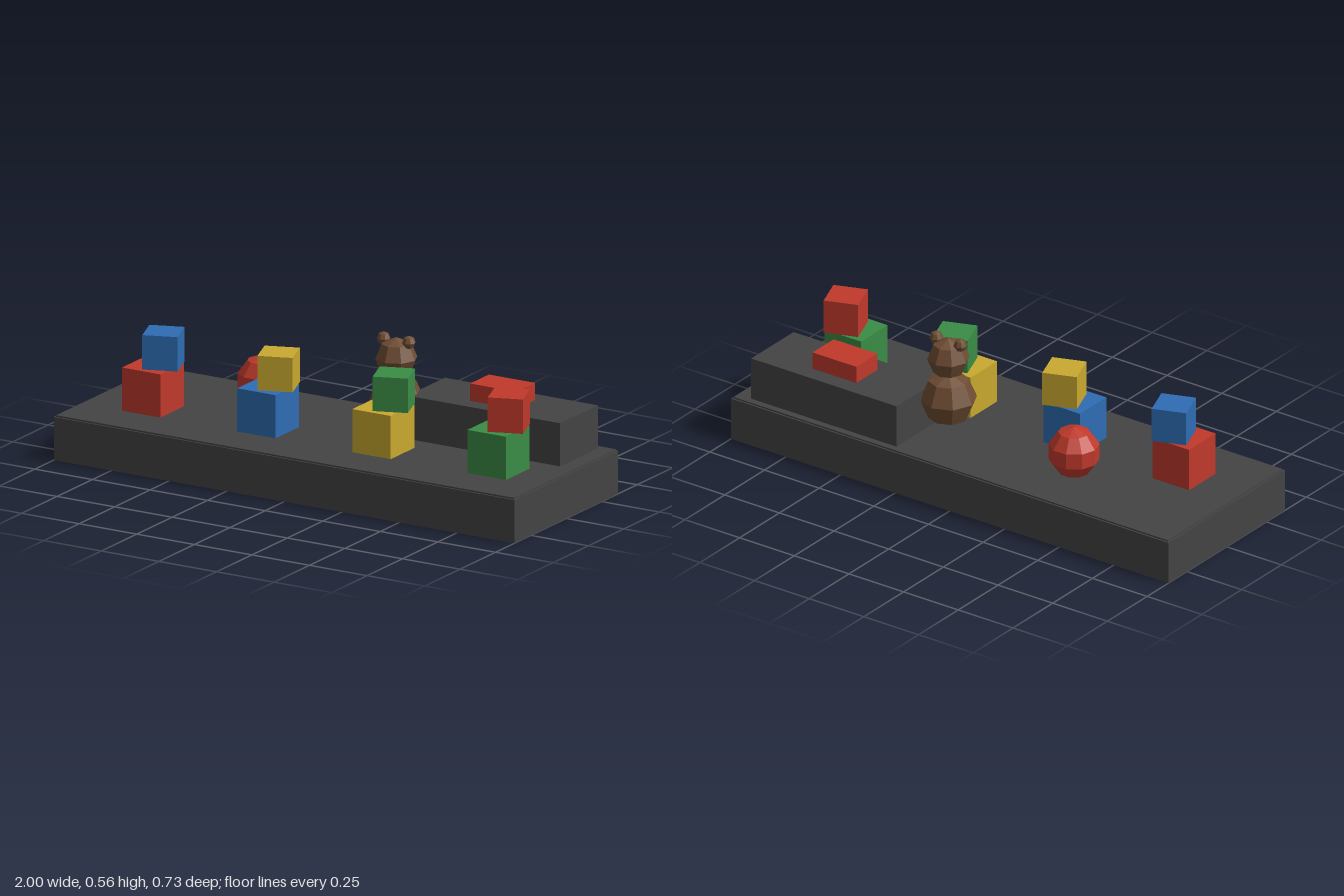
import * as THREE from 'three';

const mat = (name, color) => {
  const m = new THREE.MeshStandardMaterial({ color, flatShading: true });
  m.name = name;
  return m;
};

export function createModel() {
  const model = new THREE.Group();
  model.name = 'toyShelf';
  const charcoal = mat('charcoal', 0x444444);
  const red = mat('red', 0xc0392b);
  const blue = mat('blue', 0x2e6db4);
  const yellow = mat('yellow', 0xc9a92f);
  const green = mat('green', 0x3a8c46);
  const brown = mat('brown', 0x6e4c32);

  // y is the underside of each box
  const box = (name, material, [w, h, d], [x, y, z], parent = model) => {
    const mesh = new THREE.Mesh(new THREE.BoxGeometry(w, h, d), material);
    mesh.name = name;
    mesh.position.set(x, y + h / 2, z);
    parent.add(mesh);
    return mesh;
  };
  const ball = (name, material, r, [x, y, z], ws, hs, parent = model) => {
    const mesh = new THREE.Mesh(new THREE.SphereGeometry(r, ws, hs), material);
    mesh.name = name;
    mesh.position.set(x, y, z);
    parent.add(mesh);
    return mesh;
  };

  // Base with a slightly inset top mat
  const floor = 0.173;
  box('base', charcoal, [2, 0.167, 0.733], [0, 0, 0]);
  box('topMat', charcoal, [1.987, 0.006, 0.72], [0, 0.167, 0]);

  // Row of stacked toy blocks, the upper one turned
  const colors = [red, blue, yellow, green];
  colors.forEach((lower, i) => {
    const stack = new THREE.Group();
    stack.name = 'blockStack' + (i + 1);
    stack.position.set(-0.733 + i * 0.5, floor, 0.1);
    box('lowerBlock', lower, [0.167, 0.167, 0.167], [0, 0, 0], stack);
    const upper = box('upperBlock', colors[(i + 1) % 4], [0.133, 0.133, 0.133], [0.033, 0.167, -0.02], stack);
    upper.rotation.y = 0.35;
    model.add(stack);
  });

  // Chest with a small box on its lid
  box('chest', charcoal, [0.664, 0.167, 0.266], [0.6, floor, -0.2]);
  box('smallBox', red, [0.2, 0.067, 0.133], [0.6, 0.34, -0.2]);

  // Ball
  ball('ball', red, 0.1, [-0.4, 0.273, -0.135], 10, 5);

  // Teddy bear
  const bear = new THREE.Group();
  bear.name = 'teddyBear';
  bear.position.set(0.2, 0, -0.1);
  ball('body', brown, 0.107, [0, 0.3, 0], 8, 4, bear);
  ball('head', brown, 0.08, [0, 0.467, 0], 8, 4, bear);
  for (const s of [-1, 1])
    ball(s > 0 ? 'leftEar' : 'rightEar', brown, 0.026, [s * 0.055, 0.535, 0], 8, 4, bear);
  model.add(bear);

  return model;
}
